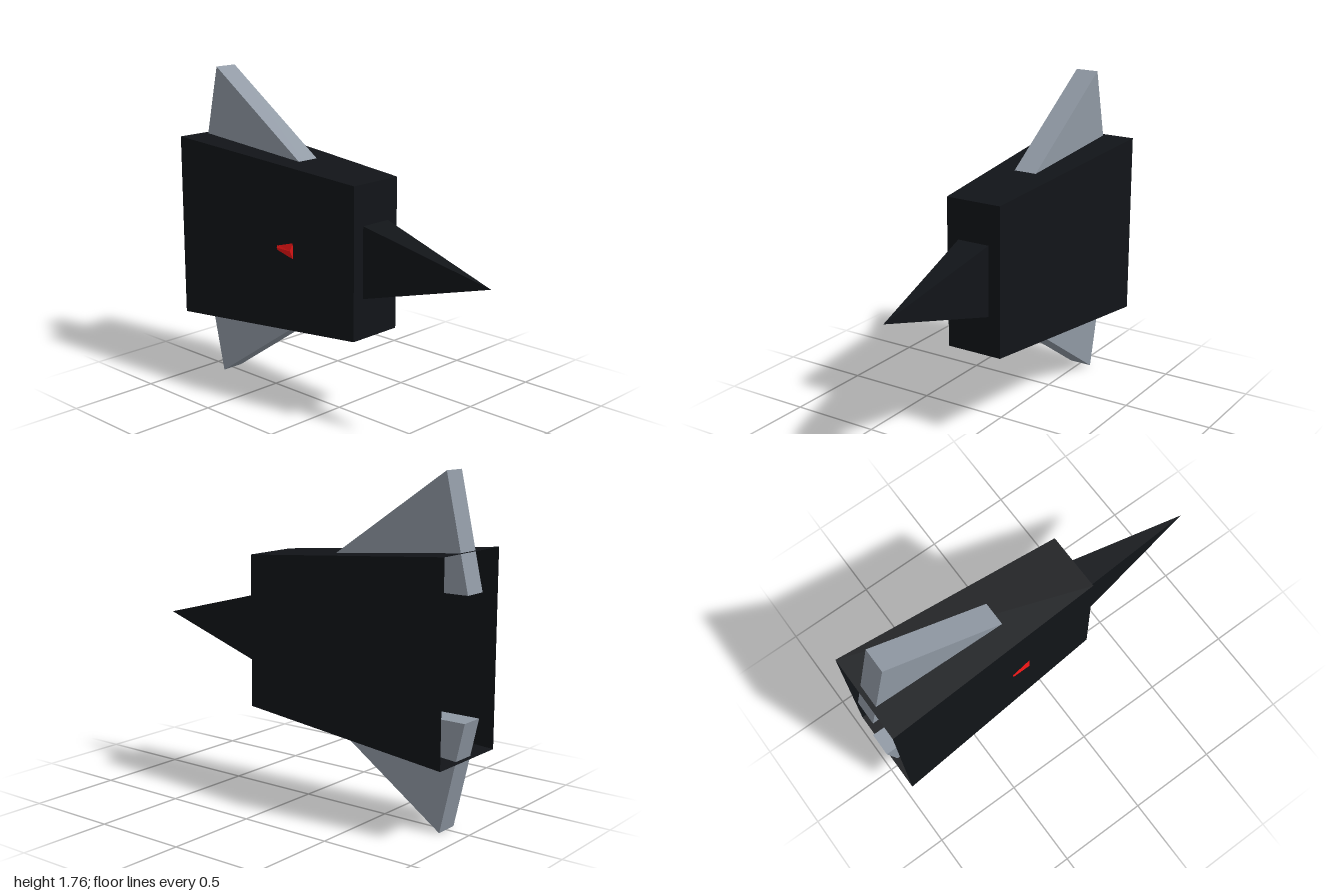
import * as THREE from 'three';

const MID = 0.88; // height of the long axis

const paint = (color) =>
  new THREE.MeshStandardMaterial({ color, flatShading: true, side: THREE.DoubleSide });

// Rectangular cross-section at x, wound counter-clockwise seen from +x
const rect = (x, h, d) => [[x, MID - h, d], [x, MID - h, -d], [x, MID + h, -d], [x, MID + h, d]];

// Skin between two matching cross-sections (back to front), with optional end caps
function loft(back, front, capBack, capFront) {
  const n = back.length, pos = [];
  const tri = (a, b, c) => pos.push(...a, ...b, ...c);
  for (let i = 0; i < n; i++) {
    const j = (i + 1) % n;
    tri(back[i], back[j], front[j]);
    tri(back[i], front[j], front[i]);
  }
  for (let i = 1; i < n - 1; i++) {
    if (capBack) tri(back[0], back[i + 1], back[i]);
    if (capFront) tri(front[0], front[i], front[i + 1]);
  }
  const g = new THREE.BufferGeometry();
  g.setAttribute('position', new THREE.Float32BufferAttribute(pos, 3));
  g.computeVertexNormals();
  return g;
}

export function createModel() {
  const model = new THREE.Group();
  const add = (name, geometry, material) => {
    const mesh = new THREE.Mesh(geometry, material);
    mesh.name = name;
    model.add(mesh);
    return mesh;
  };
  const black = paint(0x111418);
  const grey = paint(0x8f98a3);
  const red = paint(0xe81414);

  // Tapered hull, hollow and open at the back
  add('hull', loft(rect(-0.98, 0.504, 0.24), rect(0.255, 0.404, 0.158), false, true), black);

  // Four-sided pointed nose
  const base = rect(0.255, 0.19, 0.091);
  add('nose', loft(base, base.map(() => [0.99, MID, 0]), true, false), black);

  // Triangular fins above and below, rooted inside the hull
  for (const s of [1, -1]) {
    const corners = [[-1, 0.307], [-0.03, 0.307], [-0.87, 0.88]];
    const shape = new THREE.Shape(corners.map(([x, y]) => new THREE.Vector2(x, MID + s * y)));
    const fin = new THREE.ExtrudeGeometry(shape, { depth: 0.13, bevelEnabled: false });
    fin.translate(0, 0, -0.065);
    add(s > 0 ? 'upperFin' : 'lowerFin', fin, grey);
  }

  // Small ridged marker on the front side
  const marker = loft(
    [[-0.265, MID - 0.016, 0.191], [-0.265, MID + 0.016, 0.191], [-0.265, MID, 0.198]],
    [[-0.155, MID - 0.047, 0.184], [-0.155, MID + 0.047, 0.184], [-0.165, MID, 0.198]],
    true, true);
  add('marker', marker, red);

  return model;
}
